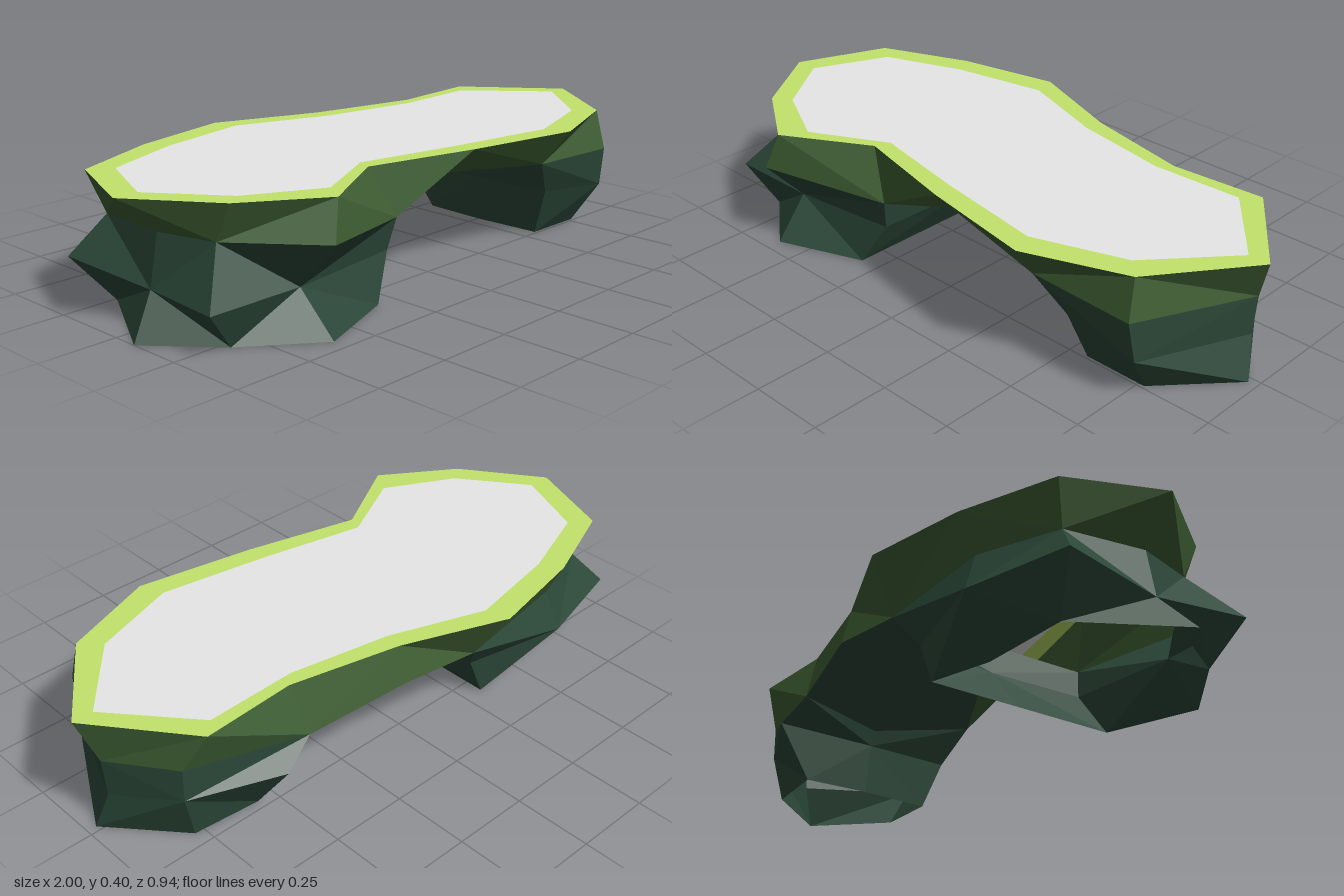
import * as THREE from 'three';

const mat = (name, color) => {
  const m = new THREE.MeshStandardMaterial({ color, flatShading: true, side: THREE.DoubleSide });
  m.name = name;
  return m;
};

// Faceted mesh from a list of triangles
function facets(name, tris, material) {
  const g = new THREE.BufferGeometry();
  g.setAttribute('position', new THREE.Float32BufferAttribute(tris.flat(2), 3));
  g.computeVertexNormals();
  const mesh = new THREE.Mesh(g, material);
  mesh.name = name;
  return mesh;
}

// Triangles joining an upper row of points to a lower one, with alternating diagonals
function strip(upper, lower, { closed = true, phase = 0 } = {}) {
  const n = upper.length, tris = [];
  for (let i = 0; i < (closed ? n : n - 1); i++) {
    const j = (i + 1) % n;
    if ((i + phase) % 2) tris.push([upper[i], upper[j], lower[i]], [upper[j], lower[j], lower[i]]);
    else tris.push([upper[i], upper[j], lower[j]], [upper[i], lower[j], lower[i]]);
  }
  return tris;
}

export function createModel() {
  const group = new THREE.Group();
  const stone = mat('pale grey', 0xe8e8e8);
  const lime = mat('lime', 0xc3e46b);
  const green = mat('moss green', 0x3f5f34);
  const dark = mat('dark rock green', 0x2b4738);

  // Outlines run from the right end along the back, then return along the front
  const flat = ([x, z]) => [x, 0.4, z];
  const outer = [
    [-1, 0.02], [-0.88, -0.28], [-0.58, -0.4], [-0.24, -0.47], [0.1, -0.34], [0.46, -0.26], [0.77, -0.28],
    [1, 0.02], [0.78, 0.32], [0.46, 0.44], [0.07, 0.37], [-0.3, 0.28], [-0.58, 0.44], [-0.82, 0.28],
  ].map(flat);
  const inner = [
    [-0.92, 0.02], [-0.81, -0.23], [-0.54, -0.33], [-0.22, -0.39], [0.09, -0.28], [0.42, -0.22], [0.72, -0.23],
    [0.93, 0.02], [0.72, 0.26], [0.43, 0.36], [0.06, 0.3], [-0.28, 0.23], [-0.53, 0.36], [-0.76, 0.24],
  ].map(flat);
  const ledge = [
    [-0.87, 0.28, 0.03], [-0.84, 0.27, -0.24], [-0.58, 0.28, -0.34], [-0.2, 0.24, -0.37], [0.1, 0.28, -0.37],
    [0.43, 0.235, -0.31], [0.82, 0.27, -0.22], [0.95, 0.26, -0.02], [0.79, 0.27, 0.35], [0.44, 0.28, 0.35],
    [0.1, 0.28, 0.17], [-0.22, 0.24, 0.32], [-0.62, 0.28, 0.47], [-0.82, 0.28, 0.22],
  ];

  // Flat top, lime rim and mossy upper band
  const paving = inner.map((p, i) => [[0, 0.4, 0], inner[(i + 1) % inner.length], p]);
  group.add(facets('pathTop', paving, stone));
  group.add(facets('grassRim', strip(inner, outer), lime));
  group.add(facets('mossBand', strip(outer, ledge), green));

  // Hollow legs, open at the foot; the last point of each row faces the arch
  const archRight = [-0.2, 0.25, -0.02], archLeft = [0.5, 0.21, 0.0];
  const pick = (ids, extra) => [...ids.map((i) => ledge[i]), extra];
  const legs = {
    rightLeg: [
      pick([11, 12, 13, 0, 1, 2, 3], archRight),
      [[-0.24, 0.14, 0.3], [-0.62, 0.13, 0.33], [-0.94, 0.13, 0.33], [-0.9, 0.12, 0.03],
        [-0.94, 0.15, -0.3], [-0.6, 0.15, -0.39], [-0.26, 0.14, -0.31], [-0.23, 0.14, -0.03]],
      [[-0.32, 0, 0.34], [-0.61, 0, 0.45], [-0.83, 0, 0.28], [-1, 0, 0.08],
        [-0.82, 0, -0.24], [-0.52, 0, -0.25], [-0.32, 0, -0.31], [-0.32, 0, 0]],
    ],
    leftLeg: [
      pick([5, 6, 7, 8, 9], archLeft),
      [[0.54, 0.17, -0.34], [0.82, 0.16, -0.22], [0.94, 0.13, -0.02],
        [0.8, 0.14, 0.33], [0.53, 0.16, 0.3], [0.52, 0.16, 0]],
      [[0.56, 0, -0.22], [0.78, 0, -0.2], [0.97, 0, 0.02],
        [0.77, 0, 0.24], [0.56, 0, 0.24], [0.55, 0, 0]],
    ],
  };
  for (const [name, [top, middle, foot]] of Object.entries(legs)) {
    group.add(facets(name, [...strip(top, middle), ...strip(middle, foot, { phase: 1 })], dark));
  }

  // Underside of the arch between the legs
  const spine = [archRight, [0.1, 0.28, 0], archLeft];
  const back = [3, 4, 5].map((i) => ledge[i]);
  const front = [11, 10, 9].map((i) => ledge[i]);
  const open = { closed: false };
  group.add(facets('archUnderside', [...strip(back, spine, open), ...strip(spine, front, open)], dark));

  return group;
}
